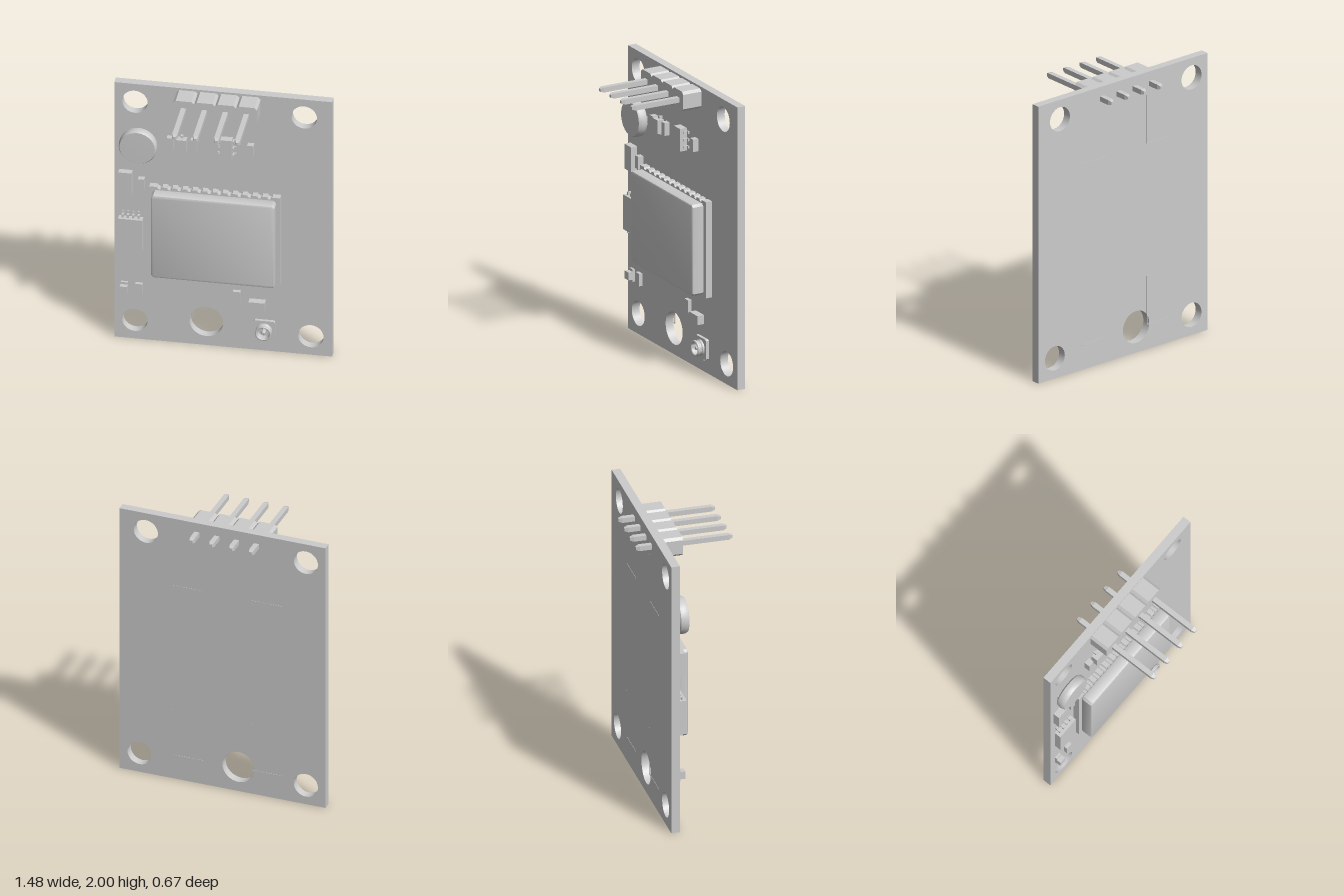
import * as THREE from 'three';
import { toCreasedNormals } from 'three/addons/utils/BufferGeometryUtils.js';

const FACE = -0.165; // front surface of the board
const BACK = -0.225;

export function createModel() {
  const root = new THREE.Group();
  const mat = new THREE.MeshStandardMaterial({ color: 0xcccccc });
  const flat = new THREE.MeshStandardMaterial({ color: 0xcccccc, flatShading: true });

  function add(name, geo, parent = root, material = mat) {
    const mesh = new THREE.Mesh(geo, material);
    mesh.name = name;
    parent.add(mesh);
    return mesh;
  }
  function group(name) {
    const g = new THREE.Group();
    g.name = name;
    root.add(g);
    return g;
  }
  // box centred on (x, y), spanning z0..z1
  function box(name, x, y, w, h, z0, z1, parent = root) {
    const m = add(name, new THREE.BoxGeometry(w, h, z1 - z0), parent);
    m.position.set(x, y, (z0 + z1) / 2);
    return m;
  }
  function extrude(shape, z0, z1, curveSegments = 16) {
    const geo = new THREE.ExtrudeGeometry(shape, { depth: z1 - z0, bevelEnabled: false, curveSegments });
    return toCreasedNormals(geo.translate(0, 0, z0), 0.5);
  }
  // revolved profile of [radius, z] pairs, axis along z
  function turned(profile, segments = 32) {
    const geo = new THREE.LatheGeometry(profile.map(([r, z]) => new THREE.Vector2(r, z)), segments);
    return geo;
  }
  function rectShape(x0, y0, x1, y1, c = 0) {
    const pts = c
      ? [[x0 + c, y0], [x1 - c, y0], [x1, y0 + c], [x1, y1 - c], [x1 - c, y1], [x0 + c, y1], [x0, y1 - c], [x0, y0 + c]]
      : [[x0, y0], [x1, y0], [x1, y1], [x0, y1]];
    return new THREE.Shape(pts.map(([x, y]) => new THREE.Vector2(x, y)));
  }

  // Board with four mounting holes and one larger hole
  const board = rectShape(-0.74, 0, 0.74, 2);
  for (const [x, y, r] of [[-0.6, 1.86, 0.087], [0.55, 1.86, 0.087], [-0.6, 0.145, 0.087], [0.595, 0.145, 0.087], [-0.115, 0.185, 0.115]]) {
    board.holes.push(new THREE.Path().absarc(x, y, r, 0, Math.PI * 2, true));
  }
  add('board', extrude(board, BACK, FACE));

  // Thin corner marks printed on the back
  const marks = group('backMarkings');
  for (const x of [0.36, -0.21]) {
    for (const y of [0.18, 1.485]) {
      box('markUpright', x, y + 0.175, 0.006, 0.35, BACK - 0.002, BACK, marks);
      box('markFoot', x - 0.11, y, 0.22, 0.006, BACK - 0.002, BACK, marks);
    }
  }

  // Pin header: chamfered blocks with square, pointed pins
  const header = group('pinHeader');
  const pinProfile = [[0, -0.335], [0.014, -0.335], [0.025, -0.31], [0.025, 0.31], [0.014, 0.335], [0, 0.335]];
  for (let i = 0; i < 4; i++) {
    const x = -0.245 + i * 0.1425;
    add('headerBlock', extrude(rectShape(x - 0.0712, 1.847, x + 0.0712, 1.985, 0.018), FACE, -0.025), header);
    const pin = add('headerPin', turned(pinProfile, 4).rotateY(Math.PI / 4).rotateX(Math.PI / 2), header, flat);
    pin.position.set(x, 1.915, 0);
  }

  // Radio module: carrier with scalloped edges and a bevelled metal can
  const module = group('radioModule');
  const x0 = -0.495, x1 = 0.395, y0 = 0.555, y1 = 1.235, n = 12, pitch = 0.068, r = 0.017;
  const carrier = new THREE.Shape();
  const notchX = (i) => -0.05 + (i - (n - 1) / 2) * pitch;
  carrier.moveTo(x0, y0);
  for (let i = 0; i < n; i++) {
    carrier.lineTo(notchX(i) - r, y0);
    carrier.absarc(notchX(i), y0, r, Math.PI, 0, true);
  }
  carrier.lineTo(x1, y0);
  carrier.lineTo(x1, y1);
  for (let i = n - 1; i >= 0; i--) {
    carrier.lineTo(notchX(i) + r, y1);
    carrier.absarc(notchX(i), y1, r, 0, -Math.PI, true);
  }
  carrier.lineTo(x0, y1);
  add('moduleCarrier', extrude(carrier, FACE, -0.118, 4), module);
  const bevel = 0.015;
  const can = new THREE.ExtrudeGeometry(rectShape(-0.47 + bevel, 0.572 + bevel, 0.37 - bevel, 1.218 - bevel, 0.008), {
    depth: 0.06, bevelThickness: bevel, bevelSize: bevel, bevelSegments: 2,
  });
  add('shieldCan', toCreasedNormals(can.translate(0, 0, -0.105), 0.6), module);

  // Round backup cell on a small foot
  const cell = group('backupCell');
  const cellProfile = [[0, -0.152], [0.115, -0.152], [0.127, -0.142], [0.13, -0.12], [0.128, -0.098], [0.12, -0.084], [0, -0.082]];
  add('cellBody', toCreasedNormals(turned(cellProfile, 40).rotateX(Math.PI / 2), 0.6), cell);
  box('cellFoot', 0, 0, 0.19, 0.06, FACE, -0.15, cell);
  cell.position.set(-0.57, 1.545, 0);

  // Eight-lead chip on the left edge
  const chip = group('memoryChip');
  box('chipBody', -0.623, 0.842, 0.165, 0.245, -0.155, -0.108, chip);
  for (let i = 0; i < 4; i++) {
    for (const s of [-1, 1]) {
      const x = -0.678 + i * 0.036;
      box('chipLeadShoulder', x, 0.842 + s * 0.13, 0.014, 0.02, -0.14, -0.128, chip);
      box('chipLeadDrop', x, 0.842 + s * 0.14, 0.014, 0.01, FACE, -0.128, chip);
      box('chipLeadFoot', x, 0.842 + s * 0.15, 0.014, 0.02, FACE, -0.155, chip);
    }
  }

  // Six-lead regulator
  const regulator = group('regulator');
  box('regulatorBody', 0.026, 1.577, 0.084, 0.16, -0.158, -0.105, regulator);
  for (const s of [-1, 1]) {
    for (const dy of [-0.052, 0, 0.052]) {
      box('regulatorLead', 0.026 + s * 0.047, 1.577 + dy, 0.012, 0.018, FACE, -0.128, regulator);
      box('regulatorFoot', 0.026 + s * 0.057, 1.577 + dy, 0.014, 0.018, FACE, -0.155, regulator);
    }
  }

  // Small transistor with end tabs
  const transistor = group('transistor');
  box('transistorBody', -0.278, 1.575, 0.07, 0.096, -0.16, -0.11, transistor);
  for (const s of [-1, 1]) box('transistorTab', -0.278, 1.575 + s * 0.055, 0.018, 0.018, FACE, -0.14, transistor);

  // Chip capacitors and resistors: x, y, width, height, front z
  const passives = group('passives');
  const parts = [
    [-0.66, 1.234, 0.092, 0.175, -0.118], [-0.552, 1.234, 0.042, 0.088, -0.125],
    [-0.355, 1.577, 0.045, 0.09, -0.125], [-0.196, 1.577, 0.042, 0.09, -0.125],
    [0.19, 1.577, 0.042, 0.088, -0.125], [-0.57, 0.4, 0.048, 0.088, -0.14],
    [0.095, 0.412, 0.052, 0.086, -0.138], [0.235, 0.367, 0.11, 0.064, -0.113],
  ];
  for (const [x, y, w, h, z] of parts) box('passive', x, y, w, h, FACE, z, passives);

  // Indicator lamp with a raised lens between its end pads
  const lamp = group('indicatorLamp');
  box('lampBase', -0.67, 0.4, 0.046, 0.088, FACE, -0.148, lamp);
  box('lampLens', -0.67, 0.4, 0.05, 0.055, -0.148, -0.115, lamp);

  // Coaxial antenna socket
  const socket = group('antennaSocket');
  add('socketBase', extrude(rectShape(-0.072, -0.072, 0.072, 0.072, 0.008), FACE, -0.143), socket);
  box('socketTab', 0, -0.08, 0.045, 0.018, FACE, -0.152, socket);
  const ring = [[0.055, -0.143], [0.055, -0.13], [0.049, -0.125], [0.049, -0.115], [0.055, -0.11], [0.055, -0.097],
    [0.051, -0.094], [0.046, -0.094], [0.042, -0.098], [0.042, -0.142], [0, -0.142]];
  add('socketRing', toCreasedNormals(turned(ring).rotateX(Math.PI / 2), 0.5), socket);
  const contact = [[0.014, -0.143], [0.014, -0.108], [0.009, -0.102], [0, -0.102]];
  add('socketContact', toCreasedNormals(turned(contact, 16).rotateX(Math.PI / 2), 0.5), socket);
  socket.position.set(0.282, 0.171, 0);

  return root;
}
